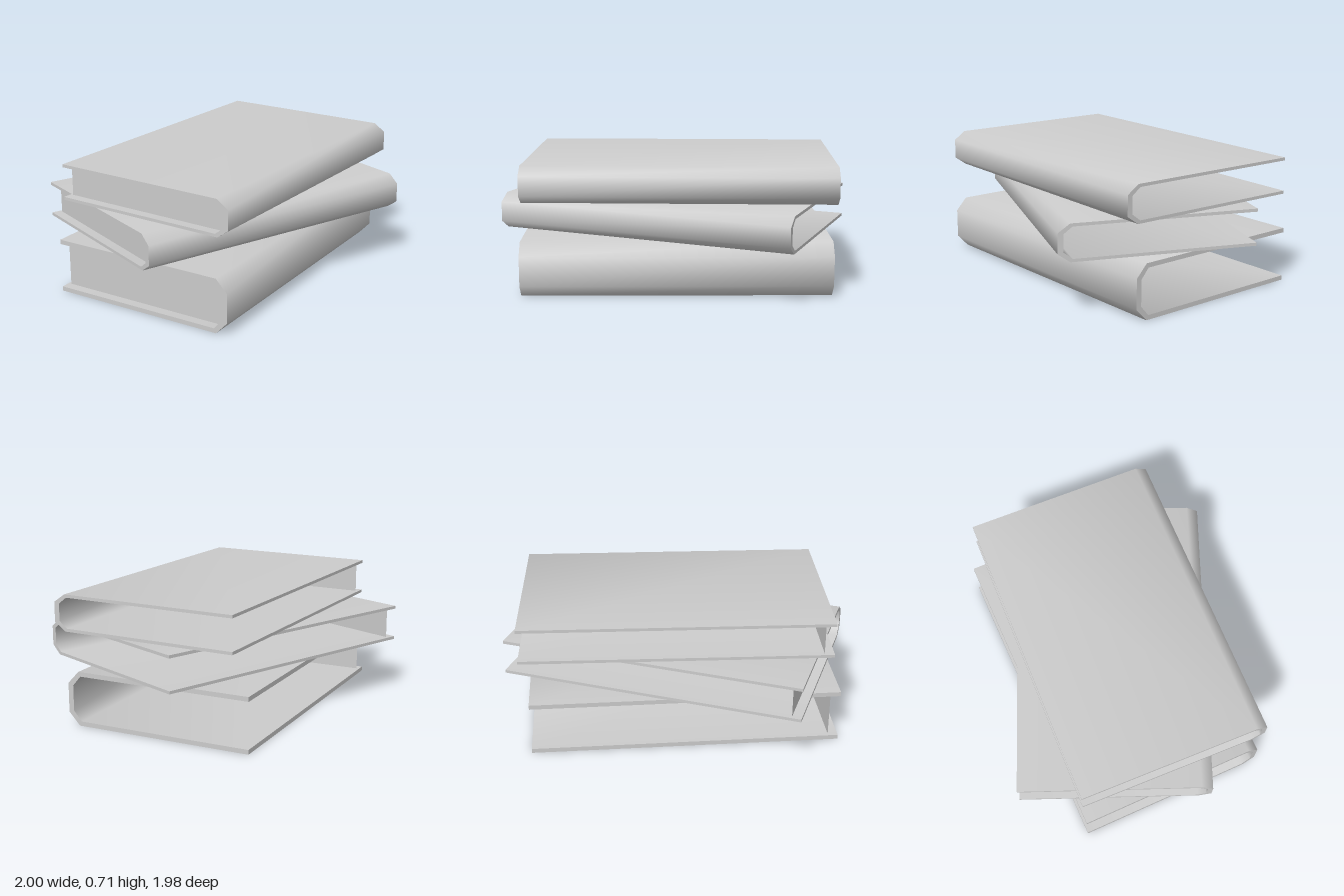
import * as THREE from 'three';
import { toCreasedNormals } from 'three/addons/utils/BufferGeometryUtils.js';

const LENGTH = 1.685, DEPTH = 1.063;
const material = new THREE.MeshStandardMaterial({ color: 0xcccccc, side: THREE.DoubleSide });

// Half-symmetric "U" contour: from the fore edge over the top, round the bevelled spine, and back below
function contour(fore, bevelStart, spine, halfHeight, halfSpine) {
  return [
    [fore, halfHeight], [bevelStart, halfHeight], [spine, halfSpine],
    [spine, -halfSpine], [bevelStart, -halfHeight], [fore, -halfHeight],
  ].map(([z, y]) => new THREE.Vector2(z, y));
}

function makeBook(name, height, x, y, z, degrees) {
  const book = new THREE.Group();
  book.name = name;
  const half = DEPTH / 2;
  const board = height * 0.083;
  const outer = contour(-half, half - 0.065, half, height / 2, height * 0.27);
  const inner = (fore) => contour(fore, half - 0.077, half - 0.03, height / 2 - board, height * 0.235);

  // Wrap-around cover: boards and spine in one bent sheet
  const section = new THREE.Shape([...outer, ...inner(-half).reverse()]);
  const sheet = new THREE.ExtrudeGeometry(section, { depth: LENGTH, bevelEnabled: false });
  sheet.translate(0, 0, -LENGTH / 2).rotateY(-Math.PI / 2);
  const cover = new THREE.Mesh(toCreasedNormals(sheet, THREE.MathUtils.degToRad(58)), material);
  cover.name = 'cover';

  // Page end: thin panel set just inside one end of the cover
  const panel = new THREE.ShapeGeometry(new THREE.Shape(inner(-half + 0.017)));
  panel.rotateY(-Math.PI / 2).translate(-LENGTH / 2 + 0.053, 0, 0);
  const pages = new THREE.Mesh(panel, material);
  pages.name = 'pageEnd';

  book.add(cover, pages);
  book.position.set(x, y + height / 2, z);
  book.rotation.y = THREE.MathUtils.degToRad(degrees);
  return book;
}

export function createModel() {
  const stack = new THREE.Group();
  stack.name = 'bookStack';
  stack.add(
    makeBook('bottomBook', 0.3, -0.008, 0, 0, 50.5),
    makeBook('middleBook', 0.2, -0.009, 0.302, -0.003, 27.7),
    makeBook('topBook', 0.2, 0.036, 0.515, 0, 48.3),
  );
  return stack;
}
